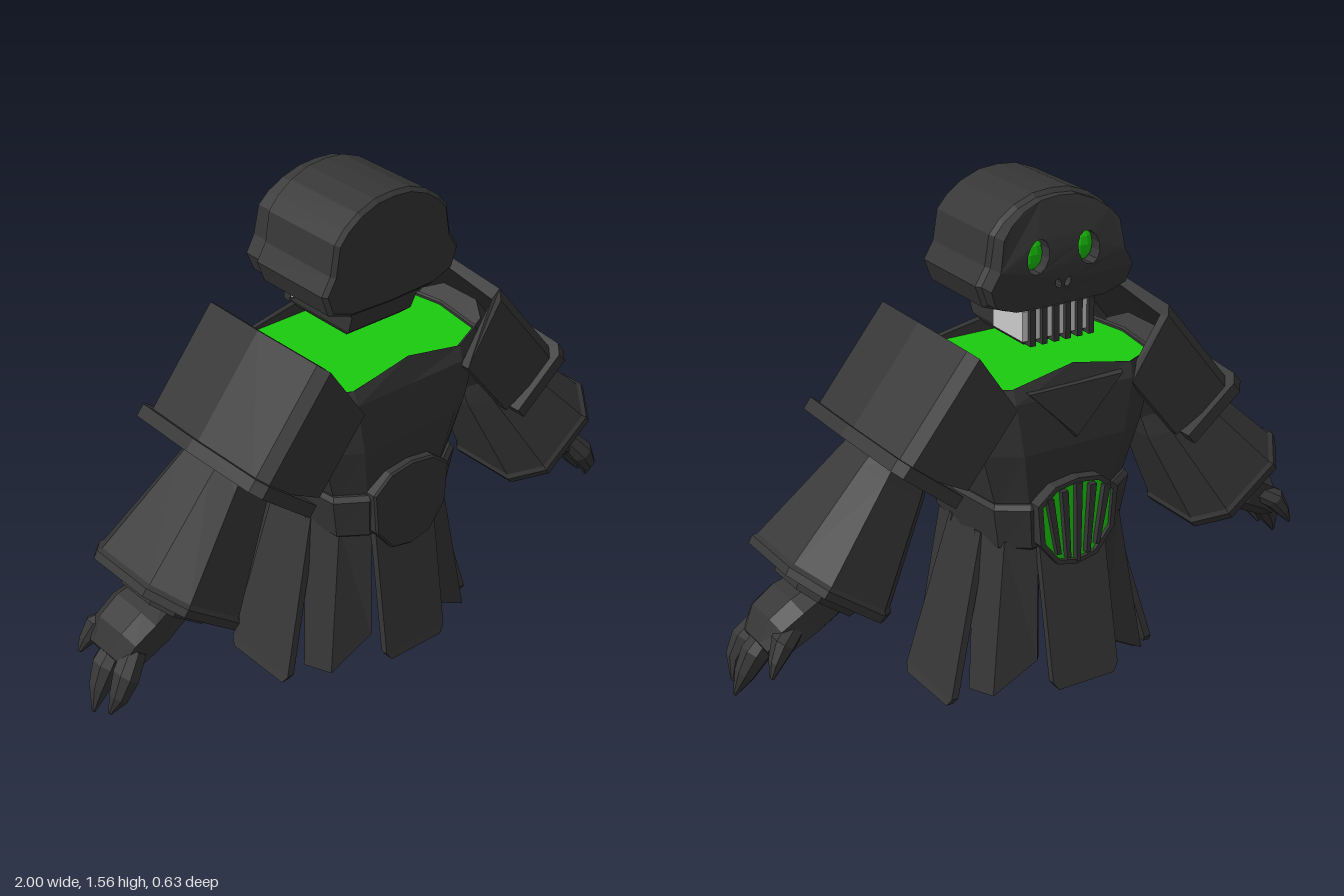
import * as THREE from 'three';

const V = (x, y, z) => new THREE.Vector3(x, y, z);
const paint = (color) => new THREE.MeshStandardMaterial({ color, flatShading: true, side: THREE.DoubleSide });
const dark = paint(0x363636), green = paint(0x1bcc0f), grey = paint(0xcccccc);

// Makes a closed solid face outwards and gives it flat normals
function finish(geo) {
  if (geo.index) geo = geo.toNonIndexed();
  const a = geo.attributes.position, p = [V(), V(), V()];
  let volume = 0;
  for (let i = 0; i < a.count; i += 3) {
    p.forEach((q, k) => q.fromBufferAttribute(a, i + k));
    volume += p[0].dot(p[1].clone().cross(p[2]));
  }
  if (volume < 0) {
    for (let i = 0; i < a.count; i += 3) {
      p[0].fromBufferAttribute(a, i);
      p[1].fromBufferAttribute(a, i + 1);
      a.setXYZ(i, ...p[1]);
      a.setXYZ(i + 1, ...p[0]);
    }
  }
  geo.computeVertexNormals();
  return geo;
}

// Solid skin over a row of cross-sections with equal point counts
function loft(rings) {
  const pts = [], n = rings[0].length;
  const tri = (...t) => t.forEach((v) => pts.push(v));
  for (let r = 0; r + 1 < rings.length; r++) {
    for (let i = 0; i < n; i++) {
      const j = (i + 1) % n, A = rings[r], B = rings[r + 1];
      tri(A[i], A[j], B[j], A[i], B[j], B[i]);
    }
  }
  const first = rings[0], last = rings[rings.length - 1];
  for (let i = 1; i + 1 < n; i++) {
    tri(first[0], first[i + 1], first[i]);
    tri(last[0], last[i], last[i + 1]);
  }
  return finish(new THREE.BufferGeometry().setFromPoints(pts));
}

// Chamfered rectangle about c, spanned by the axes u and v
function octagon(c, u, v, hu, hv, k = 0.55) {
  return [[k, 1], [1, k], [1, -k], [k, -1], [-k, -1], [-1, -k], [-1, k], [-k, 1]]
    .map(([a, b]) => c.clone().addScaledVector(u, a * hu).addScaledVector(v, b * hv));
}

const toShape = (pts) => new THREE.Shape(pts.map(([x, y]) => new THREE.Vector2(x, y)));
const symmetric = (half) => [...half, ...half.filter(([x]) => x > 0).reverse().map(([x, y]) => [-x, y])];
const slab = (shape, z, depth, bevel = 0) => new THREE.ExtrudeGeometry(shape, {
  depth, curveSegments: 6, bevelEnabled: bevel > 0, bevelSize: bevel, bevelThickness: bevel, bevelSegments: 1,
}).translate(0, 0, z);
const box = (w, h, d, x, y, z) => new THREE.BoxGeometry(w, h, d).translate(x, y, z);

export function createModel() {
  const model = new THREE.Group();
  const add = (name, geo, mat = dark) => {
    const mesh = new THREE.Mesh(finish(geo), mat);
    mesh.name = name;
    model.add(mesh);
  };
  const addPair = (name, geo, mat) => {
    add('left' + name, geo, mat);
    add('right' + name, geo.clone().scale(-1, 1, 1), mat);
  };
  const X = V(1, 0, 0), Z = V(0, 0, 1);

  // Helmet: a domed outline drawn back from the face
  const skull = symmetric([[0, 1.545], [0.06, 1.54], [0.12, 1.517], [0.165, 1.485], [0.195, 1.45],
    [0.21, 1.36], [0.24, 1.31], [0.22, 1.255], [0.15, 1.23], [0, 1.225]]);
  add('helmet', slab(toShape(skull), -0.11, 0.285, 0.012));

  // Face plate with eye and nose holes, bulging in the middle
  const faceShape = toShape(skull);
  for (const s of [-1, 1]) {
    faceShape.holes.push(new THREE.Path().absellipse(s * 0.085, 1.385, 0.036, 0.052, 0, Math.PI * 2, true, s * 0.25));
    faceShape.holes.push(new THREE.Path().absellipse(s * 0.016, 1.295, 0.009, 0.016, 0, Math.PI * 2, true, s * -0.4));
  }
  const face = slab(faceShape, -0.148, 0.03), fp = face.attributes.position;
  for (let i = 0; i < fp.count; i++) {
    const k = Math.max(0, 1 - ((fp.getY(i) - 1.36) / 0.19) ** 2);
    if (fp.getZ(i) < -0.13) fp.setZ(i, fp.getZ(i) - 0.03 * k);
  }
  add('facePlate', face);
  for (const s of [-1, 1]) {
    add('eye', new THREE.SphereGeometry(0.04, 10, 6).scale(1, 1.25, 0.5).translate(s * 0.085, 1.385, -0.134), green);
  }

  // Jaw and teeth
  const jaw = (y, w, z0, z1) => [V(-w, y, z0), V(w, y, z0), V(w, y, z1), V(-w, y, z1)];
  add('jaw', loft([jaw(1.11, 0.1, -0.12, 0.1), jaw(1.135, 0.118, -0.14, 0.13), jaw(1.19, 0.122, -0.03, 0.15), jaw(1.24, 0.15, -0.03, 0.17)]));
  add('teeth', box(0.235, 0.09, 0.16, 0.01, 1.18, -0.08), grey);
  for (let i = 0; i < 6; i++) add('toothGap', box(0.018, 0.11, 0.03, -0.1 + i * 0.04, 1.175, -0.157));

  // Torso: chest, waist and raised collar
  const bodyRing = (y, hx, hz, peak = 0) => {
    const half = [[0, hz, peak], [hx * 0.58, hz, 0], [hx * 0.92, hz * 0.76, 0], [hx, 0, 0],
      [hx * 0.92, -hz * 0.76, 0], [hx * 0.58, -hz, 0], [0, -hz, peak]];
    return [...half, ...half.slice(1, -1).reverse().map(([x, z, p]) => [-x, z, p])]
      .map(([x, z, p]) => V(x, y + p, z + 0.013));
  };
  add('chest', loft([bodyRing(0.62, 0.235, 0.225), bodyRing(0.82, 0.3, 0.255), bodyRing(0.985, 0.345, 0.255),
    bodyRing(1.03, 0.35, 0.24, 0.04), bodyRing(1.025, 0.342, 0.232, 0.035), bodyRing(1.0, 0.342, 0.232)]));
  add('innerGlow', loft([bodyRing(0.99, 0.335, 0.226), bodyRing(1.018, 0.346, 0.236)]), green);
  add('belt', loft([bodyRing(0.5, 0.225, 0.225), bodyRing(0.51, 0.235, 0.235), bodyRing(0.64, 0.26, 0.25), bodyRing(0.655, 0.25, 0.24)]));
  add('collarPoint', loft([
    [V(-0.17, 1.02, -0.22), V(0.17, 1.02, -0.22), V(0, 0.83, -0.22)],
    [V(-0.16, 1.01, -0.248), V(0.16, 1.01, -0.248), V(0, 0.85, -0.255)]]));

  // Belly plate and the glowing grille opposite it
  const belly = symmetric([[0, 0.72], [0.08, 0.708], [0.14, 0.66], [0.13, 0.53], [0.07, 0.455], [0, 0.44]]);
  add('bellyPlate', slab(toShape(belly), 0.225, 0.05, 0.006));
  const frame = toShape(belly);
  frame.holes.push(new THREE.Path(belly.map(([x, y]) => new THREE.Vector2(x * 0.88, 0.58 + (y - 0.58) * 0.9))));
  add('grilleFrame', slab(frame, -0.262, 0.04));
  add('grilleGlow', slab(toShape(belly.map(([x, y]) => [x * 0.95, 0.58 + (y - 0.58) * 0.95])), -0.25, 0.03), green);
  for (let i = -2; i <= 2; i++) {
    const bar = (y, x, w) => [V(x - w, y, -0.268), V(x + w, y, -0.268), V(x + w, y, -0.24), V(x - w, y, -0.24)];
    add('grilleBar', loft([bar(0.705 - Math.abs(i) * 0.015, i * 0.05, 0.011), bar(0.45 + Math.abs(i) * 0.02, i * 0.034, 0.007)]));
  }

  // Skirt: hanging plates in front, behind, at the sides and at the corners
  const strip = (y, z, w) => [V(-w, y, z - 0.012), V(w, y, z - 0.012), V(w, y, z + 0.012), V(-w, y, z + 0.012)];
  const hanging = (top, bottom, z0, z1, w0, w1) => loft([strip(top, z0, w0),
    strip(bottom + 0.025, z1 + (z0 - z1) * 0.06, w1), strip(bottom, z1, w1 - 0.018)]);
  add('frontSkirtPlate', hanging(0.53, 0.065, 0.235, 0.3, 0.115, 0.117));
  add('backSkirtPlate', hanging(0.53, 0.065, -0.215, -0.305, 0.115, 0.117));
  addPair('SkirtPlate', hanging(0.53, 0, 0.22, 0.365, 0.09, 0.137).rotateY(Math.PI / 2));
  const bent = (pts) => [...pts.map((p) => V(...p)), ...pts.slice().reverse().map(([x, y, z]) => V(x - 0.014, y, z - 0.016))];
  const corner = loft([
    bent([[0.236, 0.53, 0.07], [0.205, 0.53, 0.19], [0.11, 0.53, 0.225]]),
    bent([[0.297, 0.035, 0.13], [0.272, 0.05, 0.23], [0.125, 0.135, 0.245]])]);
  addPair('FrontCornerSkirtPlate', corner);
  addPair('BackCornerSkirtPlate', corner.clone().scale(1, 1, -1).translate(0, 0, 0.01));

  // Shoulder guards: arched channels with a raised rim at the lower end
  const channel = (w, top, bottom, t) => toShape([[-w, bottom], [-w, top - 0.05], [-w + 0.03, top - 0.02], [0, top],
    [w - 0.03, top - 0.02], [w, top - 0.05], [w, bottom], [w - t, bottom], [w - t, top - 0.06],
    [0, top - t], [t - w, top - 0.06], [t - w, bottom]]);
  const slope = new THREE.Matrix4().makeBasis(Z, V(0.78, 0.63, 0), V(0.63, -0.78, 0)).setPosition(0.36, 1.185, 0.025);
  const guard = slab(channel(0.27, 0, -0.26, 0.03), 0, 0.37), gp = guard.attributes.position;
  for (let i = 0; i < gp.count; i++) {
    if (gp.getZ(i) < 0.01 && gp.getY(i) < -0.2) gp.setZ(i, 0.065);
    else if (gp.getZ(i) > 0.3 && gp.getY(i) < -0.2) gp.setZ(i, 0.33);
  }
  addPair('ShoulderGuard', guard.applyMatrix4(slope));
  addPair('ShoulderRim', slab(channel(0.292, 0.022, -0.24, 0.05), 0.35, 0.04).applyMatrix4(slope));

  // Arms: flared sleeves with hollow cuffs
  const across = V(0.8, 0.6, 0), z0 = 0.02;
  const arm = (x, y, hp, hz) => octagon(V(x, y, z0), Z, across, hz, hp);
  addPair('UpperArm', loft([arm(0.34, 0.98, 0.1, 0.13), arm(0.5, 0.76, 0.11, 0.12)]));
  addPair('Sleeve', loft([arm(0.46, 0.81, 0.105, 0.12), arm(0.5, 0.75, 0.125, 0.135), arm(0.695, 0.49, 0.187, 0.21),
    arm(0.703, 0.48, 0.197, 0.218), arm(0.718, 0.46, 0.195, 0.216), arm(0.716, 0.463, 0.165, 0.185), arm(0.67, 0.52, 0.15, 0.165)]));

  // Hands: wrist ring, palm and curved claws
  addPair('WristRing', loft([arm(0.65, 0.54, 0.1, 0.11), arm(0.715, 0.45, 0.12, 0.135), arm(0.732, 0.428, 0.11, 0.125)]));
  const palmAxis = V(0.5, 0.86, 0);
  const palm = (x, y, hp, hz) => octagon(V(x, y, 0.012), Z, palmAxis, hz, hp);
  addPair('Palm', loft([palm(0.70, 0.44, 0.07, 0.085), palm(0.80, 0.40, 0.075, 0.105), palm(0.87, 0.36, 0.07, 0.1), palm(0.915, 0.31, 0.045, 0.08)]));
  const claw = (path, r) => loft(path.map(([x, y, z], i) =>
    octagon(V(x, y, z), Z, V(0.8, 0.6, 0), r[i], r[i] * 0.95, 0.45)));
  addPair('OuterClaw', claw([[0.87, 0.36, 0.08], [0.92, 0.3, 0.1], [0.955, 0.24, 0.105], [0.975, 0.18, 0.085]], [0.035, 0.04, 0.028, 0.005]));
  addPair('MiddleClaw', claw([[0.88, 0.35, 0.01], [0.93, 0.29, 0.015], [0.965, 0.23, 0.02], [0.995, 0.165, 0.03]], [0.035, 0.042, 0.03, 0.005]));
  addPair('InnerClaw', claw([[0.83, 0.39, -0.05], [0.885, 0.36, -0.085], [0.92, 0.31, -0.1], [0.94, 0.27, -0.112]], [0.035, 0.036, 0.022, 0.006]));

  return model;
}
